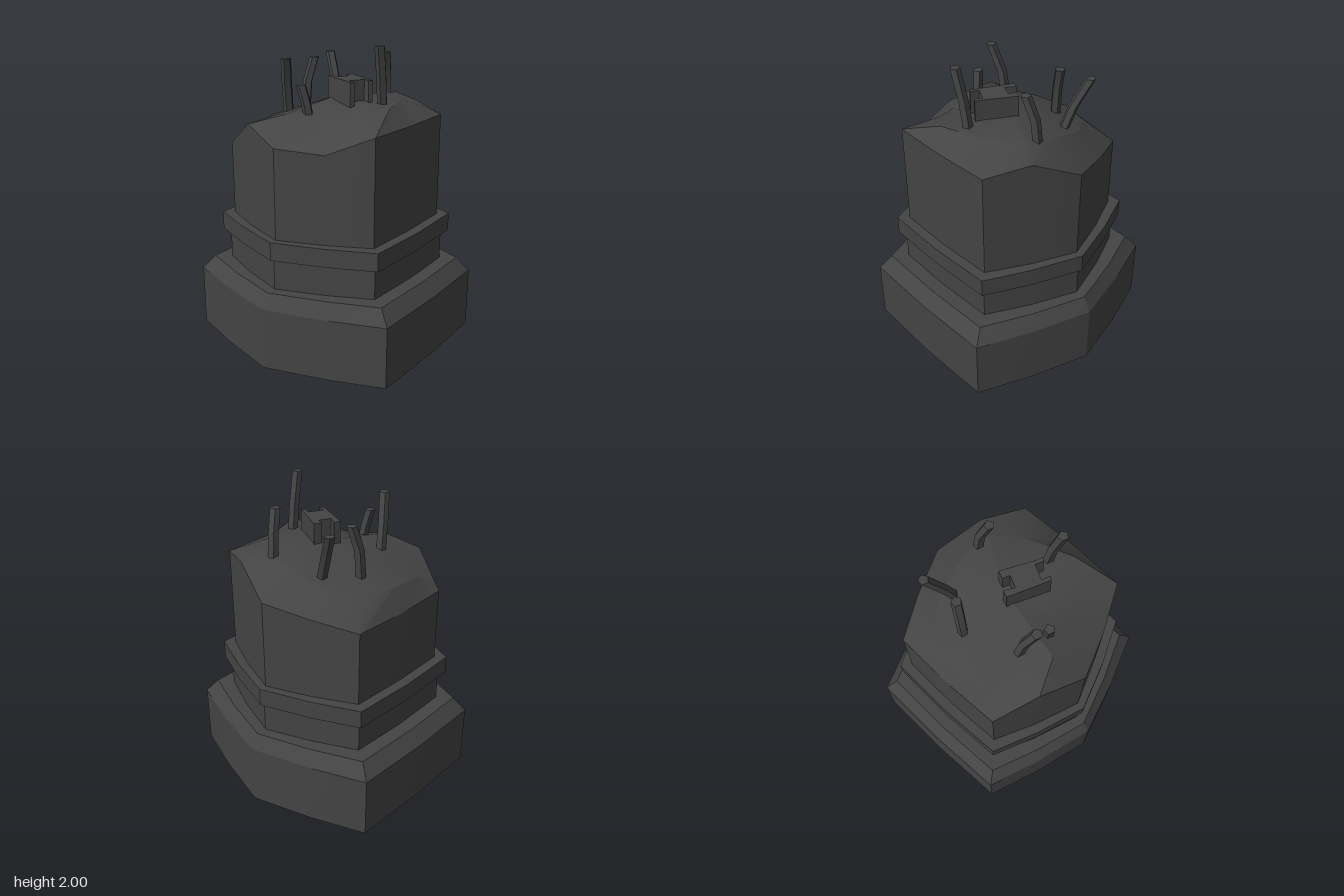
import * as THREE from 'three';
import { toCreasedNormals } from 'three/addons/utils/BufferGeometryUtils.js';

const material = new THREE.MeshStandardMaterial({ color: 0x444444 });

// Closed skin over a list of rings (arrays of [x, y, z]), with fan caps at both ends.
function loft(rings, apexY) {
  const n = rings[0].length;
  const pos = rings.flat(2);
  const index = [];
  for (let r = 0; r < rings.length - 1; r++) {
    for (let i = 0; i < n; i++) {
      const j = (i + 1) % n;
      const a = r * n + i, b = r * n + j, c = b + n, d = a + n;
      index.push(a, d, b, d, c, b);
    }
  }
  const mid = (ring) => [0, 1, 2].map((k) => ring.reduce((s, p) => s + p[k], 0) / n);
  const bottom = rings.length * n, top = bottom + 1;
  const apex = mid(rings[rings.length - 1]);
  if (apexY !== undefined) apex.splice(0, 3, 0, apexY, 0);
  pos.push(...mid(rings[0]), ...apex);
  const last = (rings.length - 1) * n;
  for (let i = 0; i < n; i++) {
    const j = (i + 1) % n;
    index.push(bottom, i, j, top, last + j, last + i);
  }
  const g = new THREE.BufferGeometry();
  g.setAttribute('position', new THREE.Float32BufferAttribute(pos, 3));
  g.setIndex(index);
  return toCreasedNormals(g, 0.45);
}

// Hexagon with slightly bulged sides: side point, corner, front point.
function hexRing(y, side, cx, cz, front) {
  const mx = (side + cx) / 2 + 0.01, mz = cz * 0.525;
  const plan = [
    [side, 0], [mx, mz], [cx, cz], [0, front], [-cx, cz], [-mx, mz],
    [-side, 0], [-mx, -mz], [-cx, -cz], [0, -front], [cx, -cz], [mx, -mz],
  ];
  return plan.map(([x, z], i) => [x, Array.isArray(y) ? y[i] : y, z]);
}

export function createModel() {
  const model = new THREE.Group();
  const add = (name, geometry) => {
    const mesh = new THREE.Mesh(geometry, material);
    mesh.name = name;
    model.add(mesh);
  };

  // Foot with a chamfered upper edge
  add('base', loft([
    hexRing(0, 0.78, 0.53, 0.765, 0.78),
    hexRing(0.41, 0.78, 0.53, 0.765, 0.78),
    hexRing(0.505, 0.725, 0.48, 0.69, 0.705),
  ]));

  // Neck and protruding collar
  const neck = [0.655, 0.41, 0.595, 0.61], collar = [0.687, 0.44, 0.635, 0.652];
  add('neck', loft([hexRing(0.5, ...neck), hexRing(0.72, ...neck)]));
  add('collar', loft([hexRing(0.71, ...collar), hexRing(0.83, ...collar)]));

  // Column with an uneven, broken top
  const column = [0.635, 0.39, 0.57, 0.583];
  const rimHeights = [1.42, 1.565, 1.52, 1.52, 1.52, 1.4, 1.42, 1.51, 1.325, 1.32, 1.32, 1.37];
  const brokenTop = [
    [0.42, 1.6, 0.07], [0.39, 1.63, 0.22], [0.24, 1.62, 0.36], [-0.1, 1.63, 0.48],
    [-0.27, 1.58, 0.35], [-0.36, 1.54, 0.17], [-0.43, 1.58, -0.08], [-0.38, 1.53, -0.26],
    [-0.27, 1.44, -0.48], [0, 1.46, -0.5], [0.22, 1.45, -0.46], [0.38, 1.52, -0.22],
  ];
  add('column', loft([hexRing(0.82, ...column), hexRing(rimHeights, ...column), brokenTop], 1.64));

  // Bent five-sided rods: foot, bend, tip
  const rods = [
    [[0.02, 1.55, 0.355], [-0.015, 1.79, 0.365], [-0.065, 2.0, 0.38]],
    [[-0.245, 1.5, -0.19], [-0.28, 1.73, -0.175], [-0.335, 1.91, -0.135]],
    [[-0.3, 1.5, 0.02], [-0.315, 1.64, 0.005], [-0.335, 1.76, -0.02]],
    [[0.09, 1.48, -0.315], [0.105, 1.69, -0.31], [0.15, 1.85, -0.285]],
    [[0.295, 1.5, -0.17], [0.325, 1.68, -0.235], [0.38, 1.86, -0.32]],
    [[0.4, 1.55, 0.14], [0.38, 1.75, 0.15], [0.33, 1.9, 0.18]],
  ];
  rods.forEach((path, k) => {
    const rings = path.map(([x, y, z]) => Array.from({ length: 5 }, (_, i) => {
      const a = (i / 5) * Math.PI * 2 + 0.4;
      return [x + 0.034 * Math.cos(a), y, z + 0.034 * Math.sin(a)];
    }));
    add('rod' + (k + 1), loft(rings));
  });

  // Upright bracket with pronged ends
  const outline = [
    [-0.02, -0.045], [0.025, -0.03], [-0.015, 0.035], [0.06, 0.07], [0.08, 0.025],
    [0.13, 0.045], [0.02, 0.24], [0, 0.29], [-0.025, 0.275], [0, 0.225],
    [-0.095, 0.175], [-0.115, 0.23], [-0.14, 0.215],
  ];
  const shape = new THREE.Shape(outline.map(([x, z]) => new THREE.Vector2(x, -z)));
  const bracket = new THREE.ExtrudeGeometry(shape, { depth: 0.22, bevelEnabled: false });
  bracket.rotateX(-Math.PI / 2).translate(0, 1.55, 0);
  add('bracket', bracket);

  return model;
}
